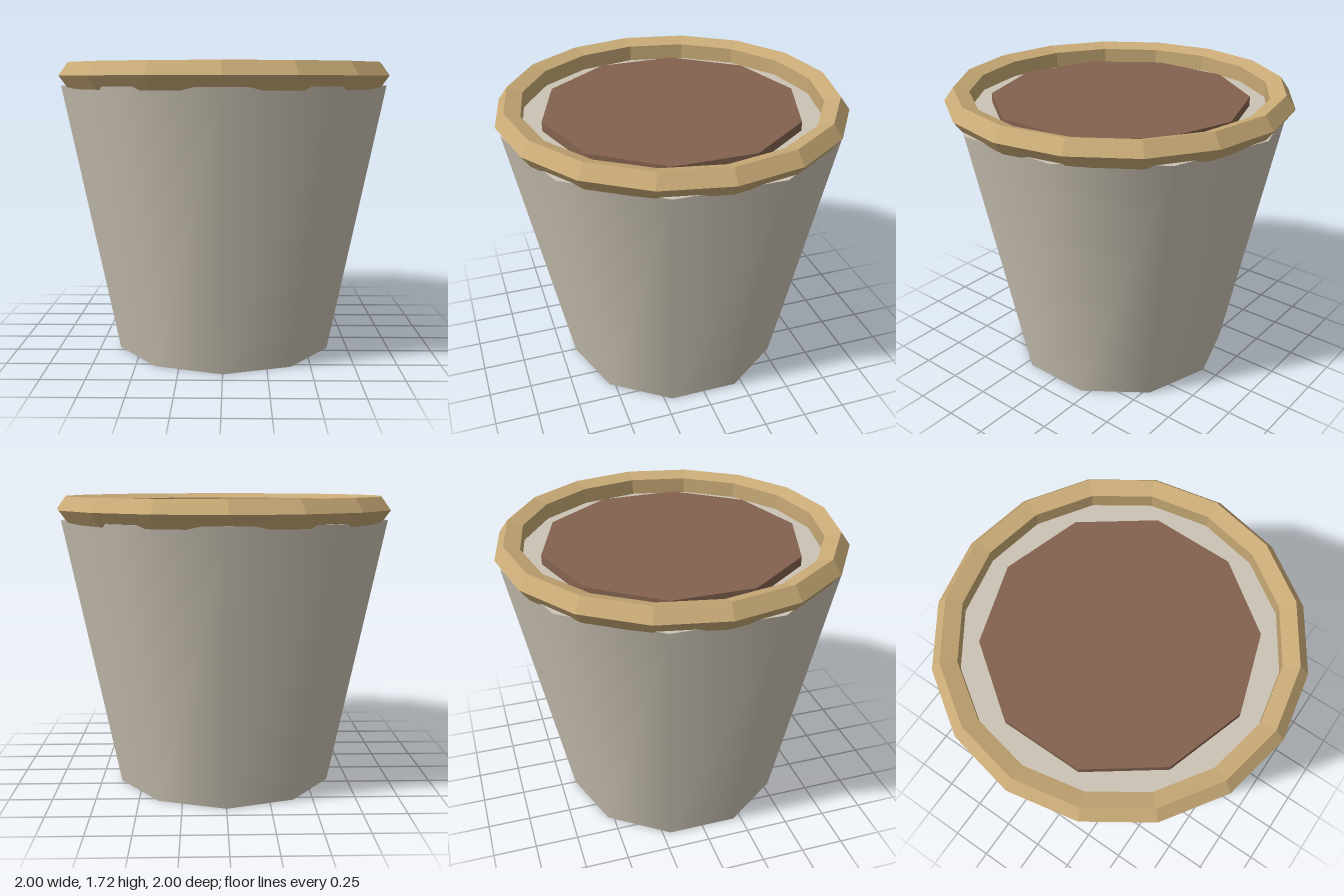
import * as THREE from 'three';

const clay = new THREE.MeshStandardMaterial({ color: 0xcbc3b4 });
clay.name = 'pale clay';
const tan = new THREE.MeshStandardMaterial({ color: 0xc8aa76 });
tan.name = 'tan rim';
const earth = new THREE.MeshStandardMaterial({ color: 0x83624f });
earth.name = 'brown soil';

// Splits shared corners so every face is shaded flat
function faceted(geometry) {
  const flat = geometry.toNonIndexed();
  flat.computeVertexNormals();
  return flat;
}

function addPart(group, name, geometry, material, y) {
  const mesh = new THREE.Mesh(geometry, material);
  mesh.name = name;
  mesh.position.y = y;
  group.add(mesh);
}

export function createModel() {
  const group = new THREE.Group();
  group.name = 'plantPot';

  // Tapered ten-sided pot with smooth walls, closed top and bottom
  const potHeight = 1.586;
  addPart(group, 'pot', new THREE.CylinderGeometry(0.975, 0.66, potHeight, 10), clay, potHeight / 2);

  // Chunky ring with a five-sided section around the top edge
  const ring = new THREE.TorusGeometry(0.921, 0.079, 5, 16).rotateX(Math.PI / 2);
  addPart(group, 'rim', faceted(ring), tan, 1.643);

  // Soil disc standing slightly proud of the pot's top
  addPart(group, 'soil', faceted(new THREE.CylinderGeometry(0.747, 0.747, 0.1, 10)), earth, 1.59);

  return group;
}
